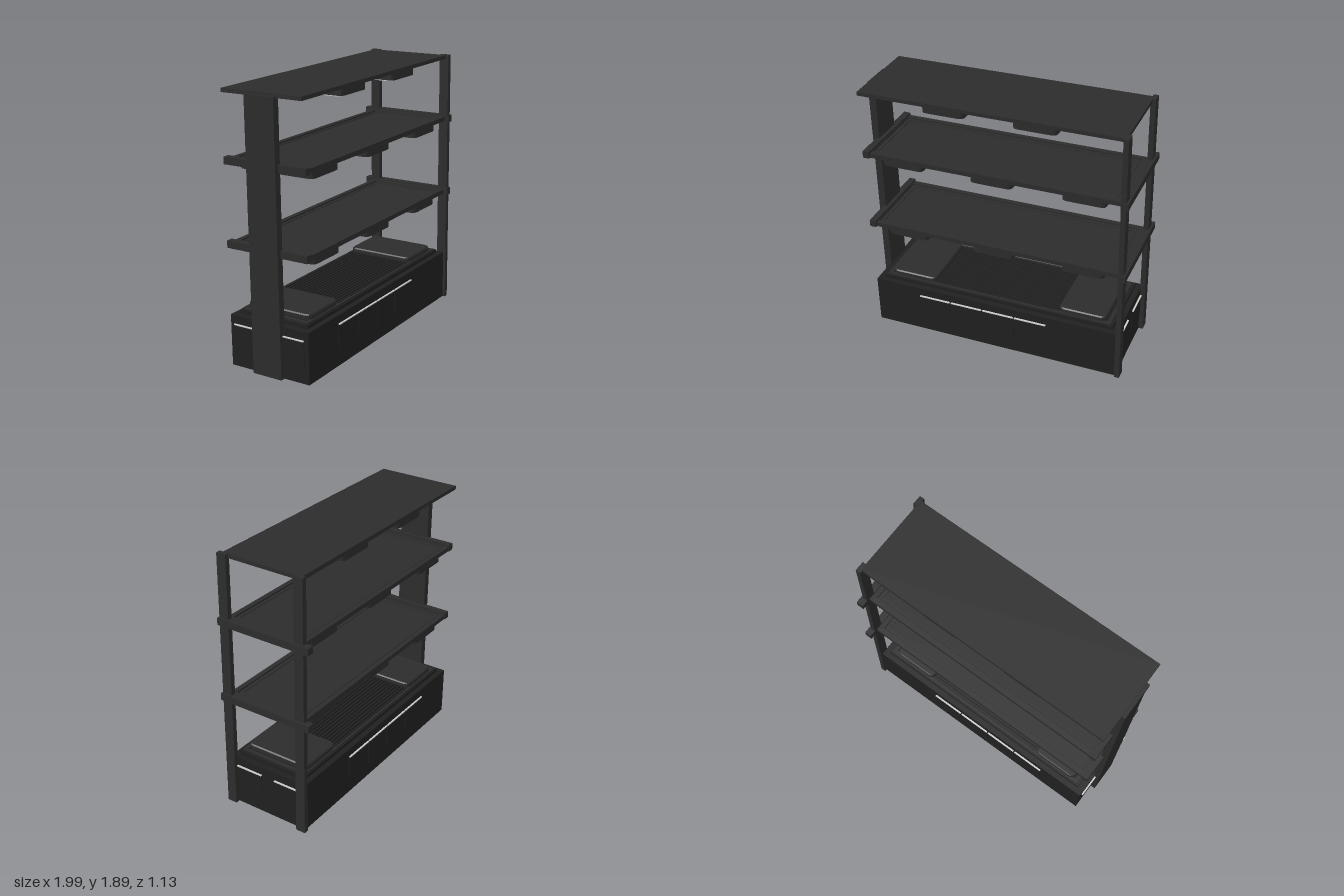
import * as THREE from 'three';

const dark = new THREE.MeshStandardMaterial({ color: 0x2c2c2c });
const darker = new THREE.MeshStandardMaterial({ color: 0x202020 });
const light = new THREE.MeshStandardMaterial({ color: 0xcccccc });

// Box given by its min/max extents along x, y and z
function box(parent, name, [x0, x1], [y0, y1], [z0, z1], mat = dark) {
  const mesh = new THREE.Mesh(new THREE.BoxGeometry(x1 - x0, y1 - y0, z1 - z0), mat);
  mesh.position.set((x0 + x1) / 2, (y0 + y1) / 2, (z0 + z1) / 2);
  mesh.name = name;
  parent.add(mesh);
  return mesh;
}

// Flat slab with rounded corners, centred on x and z, rising from y
function roundedSlab(parent, name, x, y, z, w, h, d, r, mat = dark, bevel = 0) {
  const a = w / 2 - bevel, b = d / 2 - bevel;
  const s = new THREE.Shape();
  s.moveTo(-a + r, -b);
  s.lineTo(a - r, -b);
  s.quadraticCurveTo(a, -b, a, -b + r);
  s.lineTo(a, b - r);
  s.quadraticCurveTo(a, b, a - r, b);
  s.lineTo(-a + r, b);
  s.quadraticCurveTo(-a, b, -a, b - r);
  s.lineTo(-a, -b + r);
  s.quadraticCurveTo(-a, -b, -a + r, -b);
  const geo = new THREE.ExtrudeGeometry(s, {
    depth: h - 2 * bevel, curveSegments: 4, bevelEnabled: bevel > 0,
    bevelSize: bevel, bevelThickness: bevel, bevelSegments: 1,
  });
  geo.rotateX(-Math.PI / 2);
  const mesh = new THREE.Mesh(geo, mat);
  mesh.position.set(x, y + bevel, z);
  mesh.name = name;
  parent.add(mesh);
}

// Rectangular frame with an open middle
function frame(parent, name, x, y, z, w, h, d, band) {
  const rect = (T, a, b) => {
    const p = new T();
    p.moveTo(-a, -b);
    p.lineTo(a, -b);
    p.lineTo(a, b);
    p.lineTo(-a, b);
    p.closePath();
    return p;
  };
  const s = rect(THREE.Shape, w / 2, d / 2);
  s.holes.push(rect(THREE.Path, w / 2 - band, d / 2 - band));
  const geo = new THREE.ExtrudeGeometry(s, { depth: h, bevelEnabled: false });
  geo.rotateX(-Math.PI / 2);
  const mesh = new THREE.Mesh(geo, dark);
  mesh.position.set(x, y, z);
  mesh.name = name;
  parent.add(mesh);
}

// Drawer front with a thin bright grip; built facing +z around its centre
function drawer(parent, x, z, angle, width) {
  const g = new THREE.Group();
  g.name = 'drawer';
  box(g, 'drawerFront', [-width / 2, width / 2], [0.105, 0.288], [-0.01, 0.004], darker);
  box(g, 'drawerGrip', [-width / 2, width / 2], [0.29, 0.297], [-0.01, 0.012], light);
  g.position.set(x, 0, z);
  g.rotation.y = angle;
  parent.add(g);
}

function buildBase(unit) {
  const base = new THREE.Group();
  base.name = 'base';
  box(base, 'cabinet', [-0.908, 0.902], [0, 0.355], [-0.305, 0.305], darker);
  box(base, 'plinthTop', [-0.86, 0.86], [0.355, 0.38], [-0.265, 0.265], darker);
  frame(base, 'deckRim', 0, 0.38, 0, 1.68, 0.01, 0.51, 0.025);

  // End pads and the slatted deck between them
  for (const side of [-1, 1])
    roundedSlab(base, 'endPad', side * 0.635, 0.38, 0, 0.34, 0.045, 0.49, 0.04, dark, 0.008);
  for (let i = 0; i < 18; i++) {
    const z = -0.23 + (i * 0.46) / 17;
    box(base, 'slat', [-0.47, 0.47], [0.378, 0.395], [z - 0.008, z + 0.008], darker);
  }

  // Drawers on the long sides and on both ends
  for (let i = 0; i < 4; i++) {
    const x = -0.085 + (i - 1.5) * 0.242;
    drawer(base, x, 0.305, 0, 0.232);
    drawer(base, x, -0.305, Math.PI, 0.232);
  }
  for (const z of [-0.165, 0.16]) {
    drawer(base, 0.902, z, Math.PI / 2, 0.22);
    drawer(base, -0.908, z, -Math.PI / 2, 0.22);
  }
  unit.add(base);
}

function buildShelf(unit, y) {
  const shelf = new THREE.Group();
  shelf.name = 'shelf';
  box(shelf, 'shelfBoard', [-0.9, 0.905], [0, 0.02], [-0.3, 0.3]);
  frame(shelf, 'shelfRim', 0, 0.02, 0, 1.8, 0.012, 0.6, 0.035);
  frame(shelf, 'shelfInnerRim', 0, 0.02, 0, 1.71, 0.005, 0.51, 0.02);
  box(shelf, 'leftRail', [-0.915, -0.868], [-0.002, 0.047], [-0.305, 0.313]);
  box(shelf, 'rightRail', [0.9, 0.95], [-0.008, 0.042], [-0.37, 0.33]);
  for (const x of [-0.64, 0, 0.64])
    roundedSlab(shelf, 'shelfUnderBox', x, -0.052, 0, 0.3, 0.054, 0.56, 0.04);
  shelf.position.y = y;
  unit.add(shelf);
}

function buildTop(unit) {
  const top = new THREE.Group();
  top.name = 'canopy';
  box(top, 'topPanel', [-0.92, 0.912], [1.82, 1.846], [-0.3, 0.3]);
  for (const x of [-0.315, 0.315]) {
    roundedSlab(top, 'lampHousing', x, 1.772, 0, 0.3, 0.05, 0.58, 0.04);
    roundedSlab(top, 'lampPanel', x, 1.764, 0, 0.27, 0.01, 0.53, 0.04, light);
  }
  unit.add(top);
}

export function createModel() {
  const model = new THREE.Group();
  model.name = 'shelfUnit';

  // The whole unit is turned about the vertical and leans slightly sideways
  const lean = new THREE.Group();
  lean.name = 'leaningUnit';
  lean.rotation.set(0, 0.25, 0.021);
  lean.position.y = 0.02;
  model.add(lean);
  const unit = new THREE.Group();
  unit.name = 'unit';
  unit.position.z = 0.023;
  lean.add(unit);

  buildBase(unit);
  buildShelf(unit, 0.815);
  buildShelf(unit, 1.365);
  buildTop(unit);

  // Two slim posts on one end, a single broad one on the other
  for (const side of [-1, 1])
    box(unit, 'slimPost', [0.9, 0.935], [0, 1.848], [side * 0.288 - 0.035, side * 0.288 + 0.035]);
  box(unit, 'broadPost', [-0.943, -0.893], [0, 1.83], [-0.108, 0.112]);

  return model;
}
